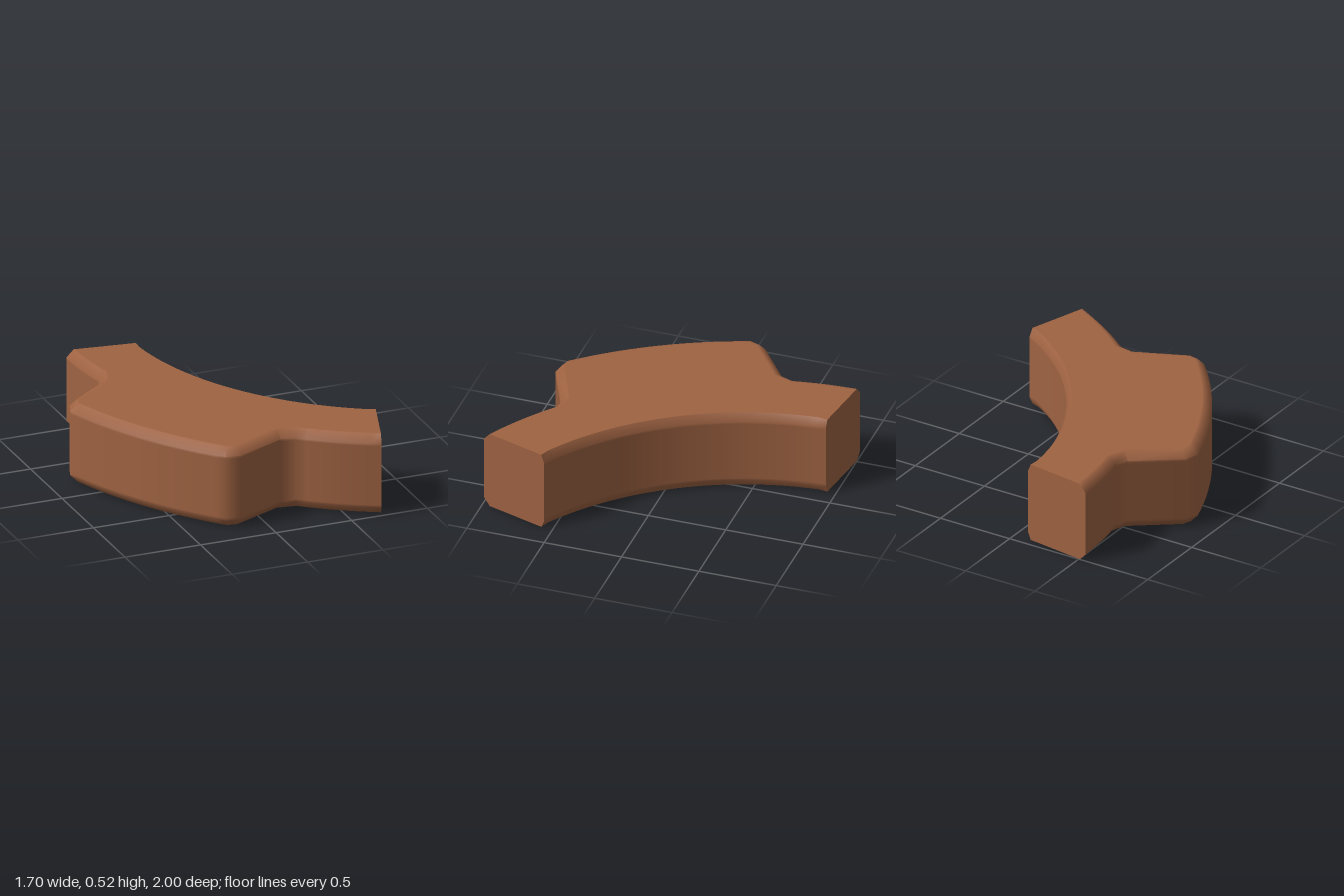
import * as THREE from 'three';
import { toCreasedNormals } from 'three/addons/utils/BufferGeometryUtils.js';

const CENTRE = [1.717, -1.036]; // common centre of all arcs, in x and z
const AXIS = 147.9;             // direction of the middle of the curve, degrees
const HEIGHT = 0.52;

const polar = (r, deg) => {
  const a = THREE.MathUtils.degToRad(AXIS + deg);
  return new THREE.Vector2(CENTRE[0] + r * Math.cos(a), CENTRE[1] + r * Math.sin(a));
};

function arc(r, from, to, steps) {
  return Array.from({ length: steps + 1 }, (_, i) => polar(r, from + (to - from) * i / steps));
}

// Plan of the curved bar with a wide block on its outer side
function makeOutline() {
  const shift = 1.6;
  const outer = [
    ...arc(2.27, 31.3, 19.4 + shift, 8),
    polar(2.32, 17.4 + shift),
    polar(2.65, 14.3 + shift),
    ...arc(2.705, 12.7 + shift, -12.7 + shift, 20),
    polar(2.65, -14.3 + shift),
    polar(2.32, -17.4 + shift),
    ...arc(2.27, -19.4 + shift, -31.3, 8),
  ];
  const inner = arc(1.815, -29.1, 29.1, 32);
  return { points: [...outer, ...inner], outerCount: outer.length };
}

// Inward direction at each point; at the bar ends it follows the flat end
function makeInsets({ points, outerCount }) {
  const n = points.length;
  const normal = (a, b) => {
    const d = b.clone().sub(a).normalize();
    return new THREE.Vector2(d.y, -d.x);
  };
  return points.map((p, i) => {
    const prev = points[(i + n - 1) % n], next = points[(i + 1) % n];
    if (i === 0 || i === outerCount) return prev.clone().sub(p).normalize().multiplyScalar(i ? 0.5 : 1);
    if (i === outerCount - 1 || i === n - 1) return next.clone().sub(p).normalize().multiplyScalar(i === n - 1 ? 0.5 : 1);
    const a = normal(prev, p), b = normal(p, next);
    const scale = (i >= outerCount ? 0.7 : 1) / (1 + a.dot(b));
    return a.add(b).multiplyScalar(scale);
  });
}

function makeBody() {
  const outline = makeOutline();
  const insets = makeInsets(outline);
  const n = outline.points.length;
  // Chamfered edge profile: inset and height
  const profile = [
    [0.06, 0], [0.045, 0], [0, 0.05], [0, 0.065],
    [0, HEIGHT - 0.065], [0, HEIGHT - 0.05], [0.045, HEIGHT], [0.06, HEIGHT],
  ];
  const positions = [], indices = [];
  for (const [inset, y] of profile) {
    outline.points.forEach((p, i) => {
      positions.push(p.x + insets[i].x * inset, y, p.y + insets[i].y * inset);
    });
  }
  // Sides and chamfers
  for (let k = 0; k < profile.length - 1; k++) {
    for (let i = 0; i < n; i++) {
      const j = (i + 1) % n, a = k * n, b = a + n;
      indices.push(a + i, a + j, b + j, a + i, b + j, b + i);
    }
  }
  // Top and bottom faces
  const inset = profile[0][0];
  const contour = outline.points.map((p, i) =>
    new THREE.Vector2(p.x + insets[i].x * inset, -(p.y + insets[i].y * inset)));
  const top = (profile.length - 1) * n;
  for (const [a, b, c] of THREE.ShapeUtils.triangulateShape(contour, [])) {
    indices.push(top + a, top + b, top + c, a, c, b);
  }
  const geometry = new THREE.BufferGeometry();
  geometry.setAttribute('position', new THREE.Float32BufferAttribute(positions, 3));
  geometry.setIndex(indices);
  return toCreasedNormals(geometry, 0.9);
}

export function createModel() {
  const brown = new THREE.MeshStandardMaterial({ color: 0x9f6342 });
  brown.name = 'warm brown';
  const body = new THREE.Mesh(makeBody(), brown);
  body.name = 'curvedBlock';
  const group = new THREE.Group();
  group.name = 'curvedBlockModel';
  group.add(body);
  return group;
}
